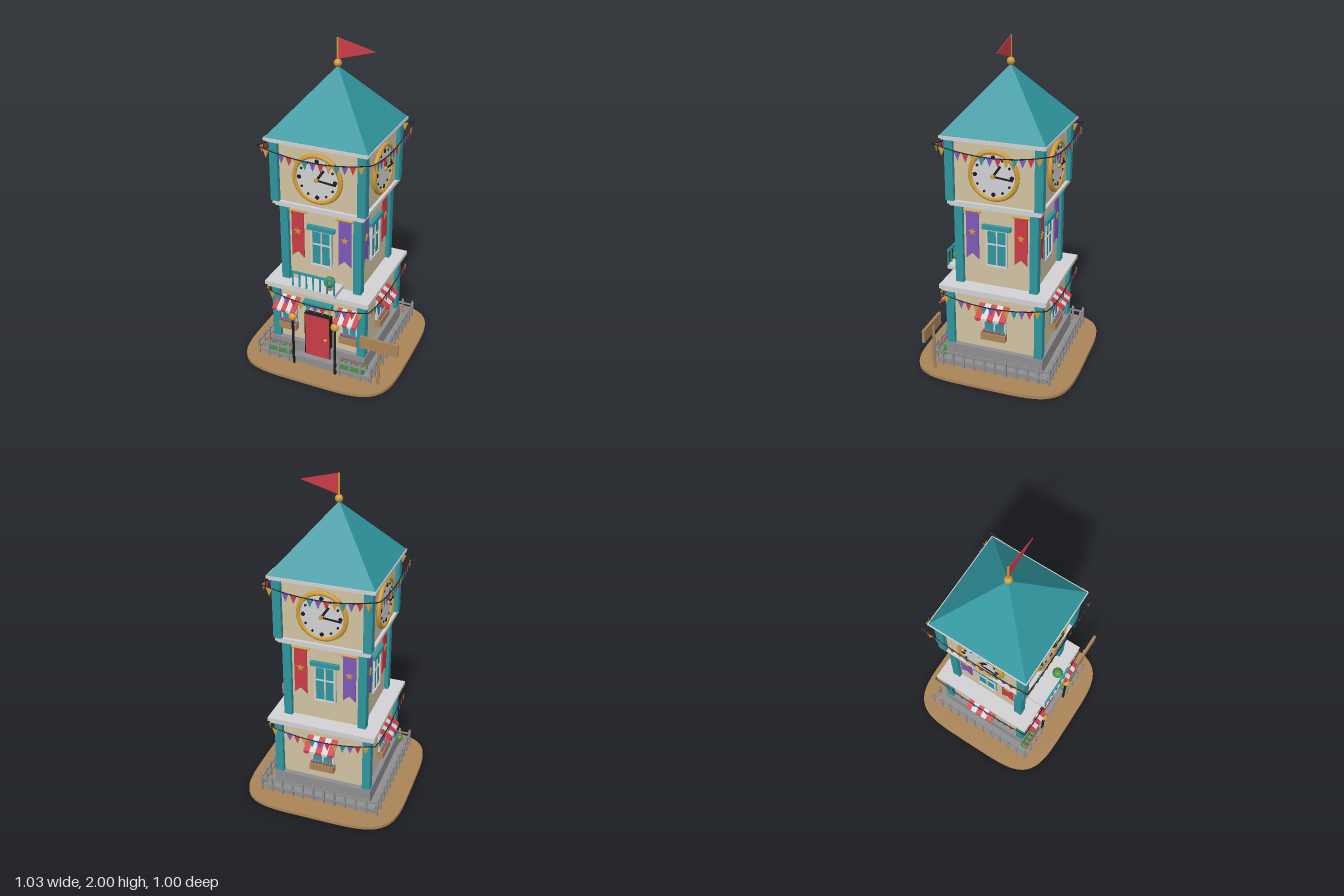
import * as THREE from 'three';

const material = (name, color) => {
  const m = new THREE.MeshStandardMaterial({ color });
  m.name = name;
  return m;
};
const M = {
  cream: material('cream plaster', 0xd2c3a3), teal: material('teal paint', 0x2f959e),
  red: material('red', 0xcb3c46), gold: material('gold', 0xd09c38),
  purple: material('purple', 0x7d58b8), white: material('off white', 0xd2d2d4),
  stone: material('stone grey', 0x8f8f92), dark: material('near black', 0x1d1d22),
  brown: material('tan wood', 0xab8458), green: material('leaf green', 0x4a9448),
};

function add(parent, name, geo, mat, x = 0, y = 0, z = 0) {
  const mesh = new THREE.Mesh(geo, mat);
  mesh.name = name;
  mesh.position.set(x, y, z);
  parent.add(mesh);
  return mesh;
}
const box = (p, name, mat, w, h, d, x, y, z) => add(p, name, new THREE.BoxGeometry(w, h, d), mat, x, y, z);
const ball = (p, name, mat, r, x, y, z) => add(p, name, new THREE.SphereGeometry(r, 16, 12), mat, x, y, z);
const rod = (p, name, mat, r, h, x, y, z) => add(p, name, new THREE.CylinderGeometry(r, r, h, 10), mat, x, y, z);
const disc = (p, name, mat, r, d, x, y, z) => {
  const m = add(p, name, new THREE.CylinderGeometry(r, r, d, 32), mat, x, y, z);
  m.rotation.x = Math.PI / 2;
  return m;
};
const plate = (points, depth) =>
  new THREE.ExtrudeGeometry(new THREE.Shape(points.map(([x, y]) => new THREE.Vector2(x, y))), { depth, bevelEnabled: false });

// One storey: wall block, four corner posts and a two-step cornice
function storey(p, y0, y1, outer, ledge, ledgeTop) {
  const h = y1 - y0, y = (y0 + y1) / 2, c = outer - 0.025;
  box(p, 'wall', M.cream, c * 2, h, c * 2, 0, y, 0);
  for (const sx of [-1, 1]) for (const sz of [-1, 1]) box(p, 'cornerPost', M.teal, 0.05, h, 0.05, sx * c, y, sz * c);
  const t = ledgeTop - y1;
  box(p, 'corniceLower', M.white, ledge * 2 - 0.02, t * 0.4, ledge * 2 - 0.02, 0, y1 + t * 0.2, 0);
  box(p, 'corniceUpper', M.white, ledge * 2, t * 0.6, ledge * 2, 0, y1 + t * 0.7, 0);
}

// Window with white frame, teal panes and crossbars
function windowUnit(p, x, y, z, w, h) {
  const g = new THREE.Group();
  g.name = 'window';
  g.position.set(x, y, z);
  p.add(g);
  box(g, 'pane', M.teal, w, h, 0.008, 0, 0, 0.003);
  for (const s of [-1, 1]) {
    box(g, 'frameSide', M.white, 0.01, h, 0.02, s * (w / 2 - 0.005), 0, 0.006);
    box(g, 'frameEnd', M.white, w, 0.01, 0.02, 0, s * (h / 2 - 0.005), 0.006);
  }
  box(g, 'mullion', M.white, 0.008, h, 0.014, 0, 0, 0.006);
  box(g, 'crossbar', M.white, w, 0.008, 0.014, 0, h * 0.1, 0.006);
}

// Ground-floor window with flower box and striped scalloped awning
function shopWindow(p, x, w) {
  const d = 0.28, aw = w + 0.045, sw = aw / 5;
  windowUnit(p, x, 0.345, d, w, 0.16);
  box(p, 'flowerBox', M.brown, w + 0.01, 0.045, 0.04, x, 0.247, d + 0.02);
  for (let i = 0; i < 6; i++) {
    const fx = x + (i - 2.5) * w / 6;
    ball(p, 'leaves', M.green, 0.012, fx, 0.272, d + 0.022);
    ball(p, 'flower', i % 2 ? M.purple : M.red, 0.009, fx, 0.282, d + 0.028);
  }
  const scallop = new THREE.Shape().absarc(0, 0, sw / 2, Math.PI, 2 * Math.PI);
  const scallopGeo = new THREE.ExtrudeGeometry(scallop, { depth: 0.006, bevelEnabled: false });
  for (let i = 0; i < 5; i++) {
    const sx = x + (i - 2) * sw, mat = i % 2 ? M.white : M.red;
    box(p, 'awningStripe', mat, sw, 0.008, 0.105, sx, 0.422, d + 0.043).rotation.x = 0.57;
    add(p, 'awningScallop', scallopGeo, mat, sx, 0.396, d + 0.083);
  }
}

// Hanging banner with swallowtail, star and rod
function banner(p, x, mat) {
  const z = 0.237;
  add(p, 'banner', plate([[-0.039, 1.02], [-0.039, 0.72], [0, 0.755], [0.039, 0.72], [0.039, 1.02]], 0.008), mat, x, 0, z);
  const star = [];
  for (let i = 0; i < 10; i++) {
    const a = Math.PI / 2 + i * Math.PI / 5, r = i % 2 ? 0.01 : 0.024;
    star.push([r * Math.cos(a), r * Math.sin(a)]);
  }
  add(p, 'bannerStar', plate(star, 0.005), M.gold, x, 0.893, z + 0.008);
  rod(p, 'bannerRod', M.gold, 0.006, 0.11, x, 1.022, z + 0.006).rotation.z = Math.PI / 2;
}

function clock(p) {
  const g = new THREE.Group();
  g.name = 'clock';
  g.position.set(0, 1.272, 0.268);
  p.add(g);
  disc(g, 'clockFace', M.white, 0.138, 0.02, 0, 0, 0.008);
  add(g, 'clockRim', new THREE.TorusGeometry(0.14, 0.014, 10, 48), M.gold, 0, 0, 0.014);
  for (let i = 0; i < 12; i++) {
    const a = i * Math.PI / 6;
    disc(g, 'hourMark', M.dark, i % 3 ? 0.007 : 0.012, 0.008, 0.11 * Math.sin(a), 0.11 * Math.cos(a), 0.019);
  }
  for (const [name, len, w, a, z] of [['hourHand', 0.077, 0.014, 0.6, 0.025], ['minuteHand', 0.118, 0.01, 1.67, 0.029]])
    box(g, name, M.dark, w, len, 0.005, Math.sin(a) * len / 2, Math.cos(a) * len / 2, z).rotation.z = -a;
  disc(g, 'clockHub', M.gold, 0.013, 0.012, 0, 0, 0.03);
}

// Sagging string of pennants
function bunting(p, top, sag) {
  const z = 0.342, half = 0.345;
  const height = x => top - sag * (1 - (x / half) ** 2);
  const pts = [];
  for (let i = 0; i <= 12; i++) {
    const x = -half + i * half / 6;
    pts.push(new THREE.Vector3(x, height(x), z));
  }
  add(p, 'buntingString', new THREE.TubeGeometry(new THREE.CatmullRomCurve3(pts), 24, 0.003, 6), M.dark);
  const flag = plate([[-0.02, 0], [0, -0.05], [0.02, 0]], 0.003);
  const cycle = [M.gold, M.teal, M.purple, M.red];
  for (let i = 0; i < 13; i++) {
    const x = (i - 6) * 0.0475;
    add(p, 'pennant', flag, cycle[i % 4], x, height(x), z - 0.0015);
  }
}

function fence(p, isFront) {
  const z = 0.375;
  for (let i = 0; i < 11; i++) {
    const x = -z + i * 0.75 / 11;
    if (isFront && Math.abs(x) < 0.15) continue;
    box(p, 'picket', M.stone, 0.012, 0.11, 0.012, x, 0.085, z);
    add(p, 'picketTip', new THREE.ConeGeometry(0.011, 0.022, 4), M.stone, x, 0.15, z);
  }
  for (const y of [0.07, 0.122]) {
    if (isFront) for (const s of [-1, 1]) box(p, 'fenceRail', M.stone, 0.225, 0.01, 0.007, s * 0.2625, y, z);
    else box(p, 'fenceRail', M.stone, 0.75, 0.01, 0.007, 0, y, z);
  }
}

export function createModel() {
  const model = new THREE.Group();
  model.name = 'clockTower';
  const t = new THREE.Group();
  t.name = 'tower';
  t.position.x = -0.02;
  model.add(t);

  // Ground pad with squarish rounded outline
  const outline = [], pw = v => Math.sign(v) * Math.abs(v) ** (2 / 4.6) * 0.5;
  for (let i = 0; i < 72; i++) {
    const a = i * Math.PI / 36;
    outline.push([pw(Math.cos(a)), pw(Math.sin(a))]);
  }
  add(t, 'ground', plate(outline, 0.02), M.brown).rotation.x = -Math.PI / 2;

  // Plinth and three storeys
  box(t, 'baseSlab', M.stone, 0.705, 0.035, 0.705, 0, 0.0375, 0);
  box(t, 'plinth', M.stone, 0.622, 0.1, 0.622, 0, 0.1, 0);
  storey(t, 0.15, 0.515, 0.305, 0.335, 0.555);
  storey(t, 0.555, 1.055, 0.257, 0.287, 1.09);
  storey(t, 1.09, 1.457, 0.293, 0.315, 1.482);

  // Roof, finial and flag
  const roofGeo = new THREE.ConeGeometry(0.31 * Math.SQRT2, 0.36, 4).toNonIndexed();
  roofGeo.computeVertexNormals();
  add(t, 'roof', roofGeo, M.teal, 0, 1.662, 0).rotation.y = Math.PI / 4;
  ball(t, 'finial', M.gold, 0.023, 0, 1.857, 0);
  rod(t, 'flagPole', M.gold, 0.006, 0.15, 0, 1.925, 0);
  add(t, 'flag', plate([[0, 1.88], [0.222, 1.943], [0, 2]], 0.004), M.red, 0.002, 0, -0.002);

  // Four sides
  for (let k = 0; k < 4; k++) {
    const side = new THREE.Group();
    side.name = ['frontSide', 'leftSide', 'backSide', 'rightSide'][k];
    side.rotation.y = k * Math.PI / 2;
    t.add(side);
    clock(side);
    bunting(side, 1.443, 0.047);
    bunting(side, 0.51, 0.05);
    fence(side, k === 0);
    windowUnit(side, 0, 0.805, 0.232, 0.132, 0.24);
    box(side, 'windowHeader', M.teal, 0.174, 0.026, 0.035, 0, 0.937, 0.24);
    banner(side, -0.15, k % 2 ? M.purple : M.red);
    banner(side, 0.15, k % 2 ? M.red : M.purple);
    if (k) shopWindow(side, 0, 0.145);
  }

  // Entrance: windows, lamps and flower beds mirrored about the door
  for (const s of [-1, 1]) {
    shopWindow(t, s * 0.2, 0.105);
    rod(t, 'lampPost', M.dark, 0.008, 0.33, s * 0.139, 0.185, 0.365);
    ball(t, 'lampGlobe', M.gold, 0.026, s * 0.139, 0.367, 0.365);
    box(t, 'flowerBed', M.green, 0.15, 0.05, 0.035, s * 0.24, 0.08, 0.333);
    for (let i = 0; i < 5; i++) {
      const x = s * (0.18 + i * 0.034);
      ball(t, 'shrub', M.green, 0.024, x, 0.105, 0.334);
      ball(t, 'bloom', i % 2 ? M.purple : M.red, 0.011, x, 0.128, 0.345);
    }
  }
  box(t, 'doorStep', M.stone, 0.25, 0.02, 0.06, 0, 0.065, 0.325);
  box(t, 'doorFrame', M.dark, 0.172, 0.302, 0.04, 0, 0.226, 0.294);
  box(t, 'door', M.red, 0.158, 0.295, 0.045, 0, 0.2225, 0.296);
  ball(t, 'doorKnob', M.gold, 0.01, 0.056, 0.215, 0.322);
  box(t, 'doorLintel', M.teal, 0.185, 0.03, 0.04, 0, 0.445, 0.3);

  // Balcony with rail and topiary
  box(t, 'balconyFloor', M.white, 0.275, 0.026, 0.13, 0, 0.575, 0.3);
  box(t, 'balconyRail', M.teal, 0.275, 0.012, 0.012, 0, 0.683, 0.36);
  for (let i = 0; i < 7; i++) box(t, 'baluster', M.teal, 0.008, 0.1, 0.008, (i - 3) * 0.0443, 0.635, 0.36);
  rod(t, 'topiaryPot', M.brown, 0.018, 0.03, 0.084, 0.6, 0.315);
  ball(t, 'topiary', M.green, 0.034, 0.084, 0.64, 0.315);

  // Blank signboard on a post
  rod(t, 'signPost', M.brown, 0.009, 0.29, 0.413, 0.165, 0.345);
  box(t, 'signBoard', M.brown, 0.237, 0.08, 0.016, 0.416, 0.305, 0.354);
  return model;
}
